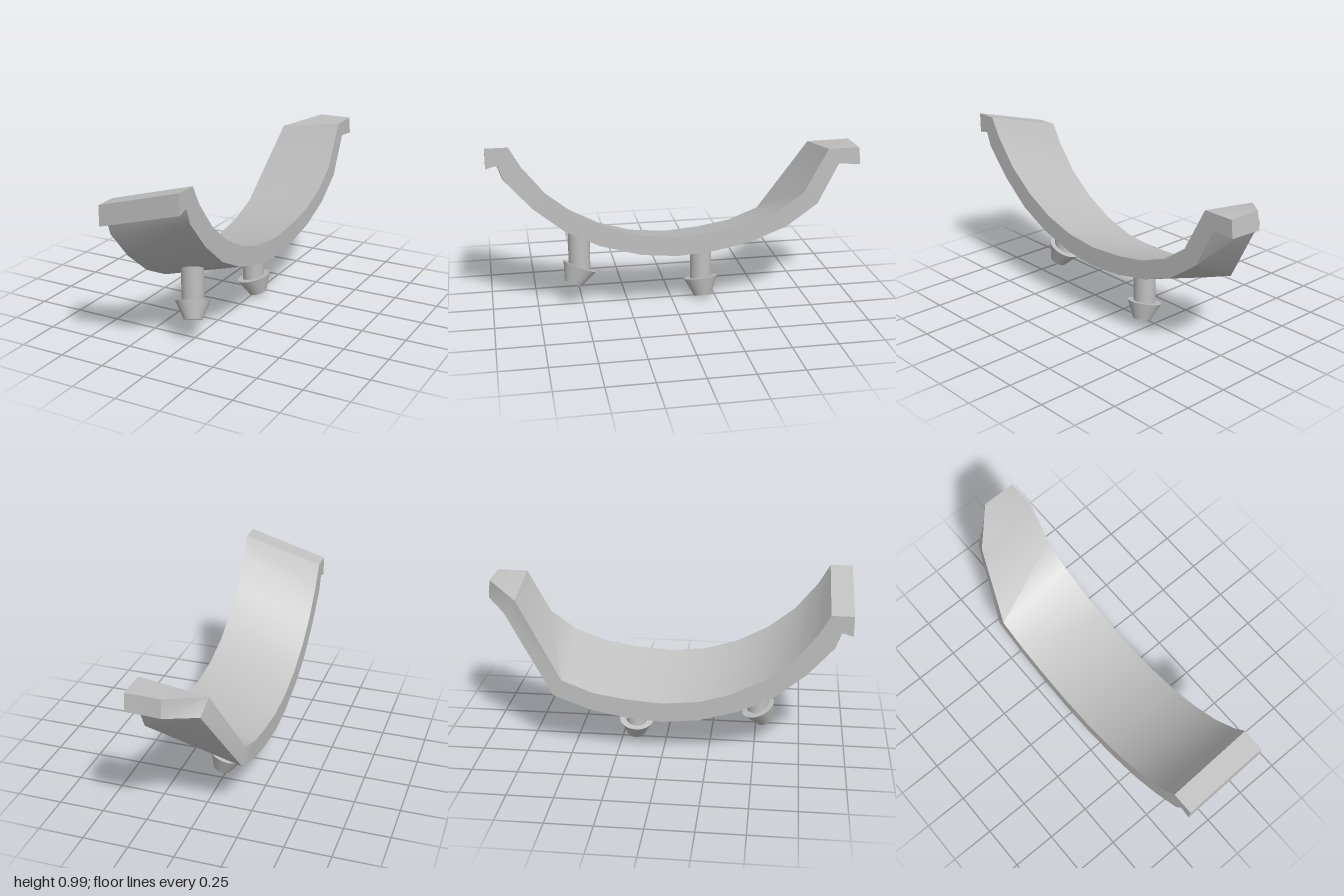
import * as THREE from 'three';
import { toCreasedNormals } from 'three/addons/utils/BufferGeometryUtils.js';

const HALF = 0.227; // half width of the strip
const RISE = 0.13; // height gained from the -x edge to the +x edge

// Side profile at the +x edge as [z, y], front to back
const UPPER = [[1, 0.988], [0.88, 0.988], [0.82, 0.88], [0.7, 0.73], [0.55, 0.61], [0.38, 0.52], [0.2, 0.465],
  [0, 0.445], [-0.2, 0.46], [-0.38, 0.49], [-0.55, 0.555], [-0.69, 0.655], [-0.82, 0.895], [-0.99, 0.895]];
const LOWER = [[1, 0.878], [0.94, 0.895], [0.91, 0.81], [0.77, 0.65], [0.6, 0.51], [0.42, 0.42], [0.2, 0.355],
  [0, 0.335], [-0.2, 0.35], [-0.4, 0.39], [-0.6, 0.467], [-0.77, 0.59], [-0.88, 0.81], [-1, 0.8]];

// The -x edge is the lowered profile, with the rear corner cut away diagonally
function leftEdge(profile, cutEnd) {
  const edge = profile.slice(0, 11).map(([z, y]) => new THREE.Vector3(-HALF, y - RISE, z));
  return [...edge, edge[10], ...cutEnd.map((p) => new THREE.Vector3(...p))];
}

function curvedStrip() {
  const right = (profile) => profile.map(([z, y]) => new THREE.Vector3(HALF, y, z));
  const rt = right(UPPER);
  const rb = right(LOWER);
  const lt = leftEdge(UPPER, [[-0.13, 0.84, -0.81], [0.04, 0.893, -0.99]]);
  const lb = leftEdge(LOWER, [[-0.11, 0.76, -0.88], [0.04, 0.793, -1]]);
  const points = [];
  const tri = (a, b, c) => {
    if (a !== b && b !== c && a !== c) points.push(a, b, c);
  };
  const quad = (a, b, c, d) => {
    tri(a, b, c);
    tri(a, c, d);
  };
  const last = rt.length - 1;
  for (let i = 0; i < last; i++) {
    const j = i + 1;
    quad(rt[i], rt[j], lt[j], lt[i]); // inner surface
    quad(rb[i], lb[i], lb[j], rb[j]); // outer surface
    quad(rt[i], rb[i], rb[j], rt[j]); // +x side
    quad(lt[i], lt[j], lb[j], lb[i]); // -x side
  }
  quad(lt[0], lb[0], rb[0], rt[0]); // front end
  quad(rt[last], rb[last], lb[last], lt[last]); // rear end
  return toCreasedNormals(new THREE.BufferGeometry().setFromPoints(points), 0.5);
}

export function createModel() {
  const model = new THREE.Group();
  model.name = 'curvedClip';
  const grey = new THREE.MeshStandardMaterial({ color: 0xc0c0c0 });
  grey.name = 'lightGrey';

  const add = (parent, name, geometry) => {
    const mesh = new THREE.Mesh(geometry, grey);
    mesh.name = name;
    parent.add(mesh);
    return mesh;
  };

  add(model, 'curvedStrip', curvedStrip());

  // Upright shaft ending in a tapered head that leans along the strip's normal
  function peg(name, z, shaftTop, headY, down) {
    const group = new THREE.Group();
    group.name = name;
    const bottom = headY - 0.02;
    const shaft = add(group, 'pegShaft', new THREE.CylinderGeometry(0.06, 0.06, shaftTop - bottom, 32));
    shaft.position.set(0, (shaftTop + bottom) / 2, z);
    const head = add(group, 'pegHead', new THREE.CylinderGeometry(0.095, 0.05, 0.1, 32));
    const axis = new THREE.Vector3(...down).normalize();
    head.quaternion.setFromUnitVectors(new THREE.Vector3(0, -1, 0), axis);
    head.position.set(0, headY, z).addScaledVector(axis, 0.05);
    model.add(group);
  }
  peg('frontPeg', 0.515, 0.44, 0.222, [0.23, -0.9, 0.4]);
  peg('rearPeg', -0.17, 0.33, 0.109, [0.27, -0.96, -0.07]);

  return model;
}
